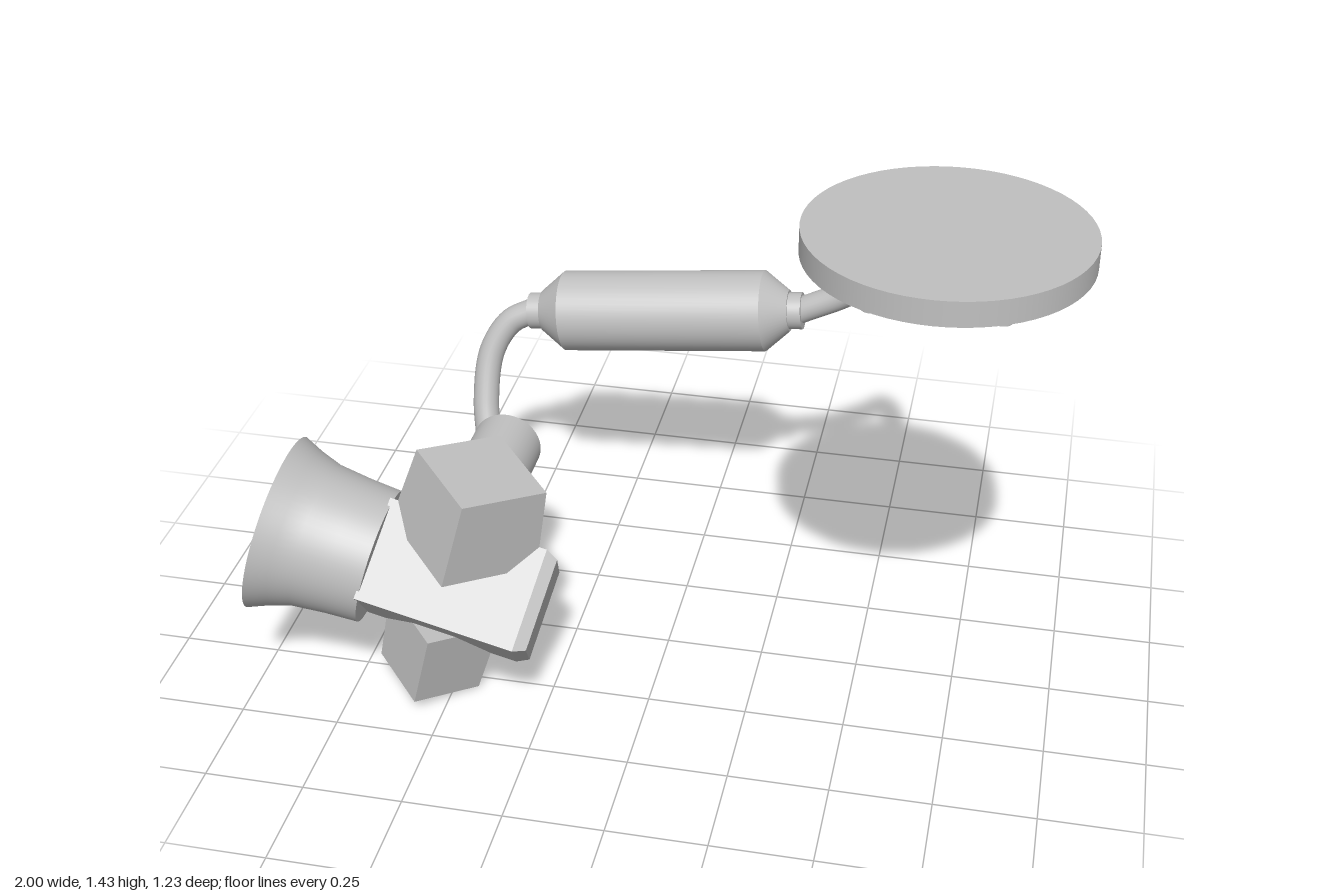
import * as THREE from 'three';

const metal = new THREE.MeshStandardMaterial({ color: 0xc0c0c0 });
metal.name = 'light grey metal';

function add(parent, name, geometry, x = 0, y = 0, z = 0) {
  const mesh = new THREE.Mesh(geometry, metal);
  mesh.name = name;
  mesh.position.set(x, y, z);
  parent.add(mesh);
  return mesh;
}

// Round section running along +x from x0 to x1
function sectionX(x0, r0, x1, r1) {
  return new THREE.CylinderGeometry(r1, r0, x1 - x0, 48).rotateZ(-Math.PI / 2).translate((x0 + x1) / 2, 0, 0);
}

// Square section set corner-on, along y from y0 to y1; sizes are half diagonals
function diamondY(y0, r0, y1, r1) {
  const g = new THREE.CylinderGeometry(r1, r0, y1 - y0, 4).translate(0, (y0 + y1) / 2, 0).toNonIndexed();
  g.computeVertexNormals();
  return g;
}

// Bent pipe with closed ends
function pipe(parent, name, points, radius) {
  const curve = new THREE.CatmullRomCurve3(points.map((p) => new THREE.Vector3(...p)));
  const group = new THREE.Group();
  group.name = name;
  parent.add(group);
  add(group, name + 'Tube', new THREE.TubeGeometry(curve, 64, radius, 24, false));
  for (const t of [0, 1]) {
    const end = curve.getPointAt(t);
    const outward = curve.getTangentAt(t).multiplyScalar(t ? 1 : -1);
    const cap = add(group, name + 'End', new THREE.CircleGeometry(radius, 24), end.x, end.y, end.z);
    cap.quaternion.setFromUnitVectors(new THREE.Vector3(0, 0, 1), outward);
  }
}

export function createModel() {
  const model = new THREE.Group();
  model.name = 'mountedLamp';

  // Mounting plate with a ring of six bolts beneath
  const mount = new THREE.Group();
  mount.name = 'mount';
  mount.position.set(0.675, 0, 0.288);
  model.add(mount);
  add(mount, 'mountingPlate', new THREE.CylinderGeometry(0.322, 0.322, 0.06, 64), 0, 1.4, 0);
  for (let i = 0; i < 6; i++) {
    const a = (i * Math.PI) / 3;
    add(mount, 'bolt', new THREE.CylinderGeometry(0.023, 0.023, 0.03, 20), 0.272 * Math.cos(a), 1.365, 0.272 * Math.sin(a));
  }

  // Pipes either side of the canister
  pipe(model, 'upperPipe', [
    [0.67, 1.35, 0.07], [0.645, 1.285, -0.12], [0.605, 1.19, -0.31], [0.56, 1.08, -0.43],
    [0.495, 0.96, -0.475], [0.39, 0.84, -0.497], [0.25, 0.758, -0.507],
  ], 0.035);
  pipe(model, 'lowerPipe', [
    [-0.48, 0.677, -0.507], [-0.545, 0.64, -0.497], [-0.592, 0.56, -0.468],
    [-0.6, 0.43, -0.415], [-0.578, 0.307, -0.36],
  ], 0.035);

  // Canister with tapered ends and collars
  const canister = new THREE.Group();
  canister.name = 'canister';
  canister.position.set(-0.115, 0.717, -0.507);
  canister.rotation.z = 0.11;
  model.add(canister);
  add(canister, 'canisterBody', sectionX(-0.275, 0.108, 0.275, 0.108));
  add(canister, 'rightTaper', sectionX(-0.34, 0.055, -0.275, 0.108));
  add(canister, 'leftTaper', sectionX(0.275, 0.108, 0.34, 0.055));
  for (const s of [-1, 1]) add(canister, 'collar', sectionX(-0.0175, 0.049, 0.0175, 0.049), s * 0.3575);

  // Tilted head: local x runs from the horn face to the back of the body
  const head = new THREE.Group();
  head.name = 'head';
  head.position.set(-0.945, 0.447, 0.288);
  head.rotation.z = -0.2475;
  model.add(head);

  // Flared horn, closed at the mouth
  const hornProfile = [[0.225, 0], [0.203, 0.052], [0.186, 0.105], [0.177, 0.19], [0.172, 0.275]]
    .map(([r, y]) => new THREE.Vector2(r, y));
  add(head, 'horn', new THREE.LatheGeometry(hornProfile, 64).rotateZ(-Math.PI / 2));
  add(head, 'hornFace', new THREE.CircleGeometry(0.225, 64).rotateY(-Math.PI / 2));
  add(head, 'hornBack', new THREE.CircleGeometry(0.172, 64).rotateY(Math.PI / 2), 0.275);

  // Square body set corner-on, bevelled at its free end
  add(head, 'body', diamondY(0.268, 0.186, 0.675, 0.186).rotateZ(-Math.PI / 2));
  add(head, 'bodyBevel', diamondY(0.675, 0.186, 0.706, 0.166).rotateZ(-Math.PI / 2));

  // Tapered blocks above and below the body
  add(head, 'upperBlock', diamondY(0.125, 0.19, 0.35, 0.166), 0.472);
  add(head, 'lowerBlock', diamondY(-0.305, 0.133, -0.095, 0.147), 0.465);

  // Knob and stub at the back of the upper block
  const turn = Math.PI / 2;
  add(head, 'knob', new THREE.CylinderGeometry(0.088, 0.088, 0.14, 40).rotateX(turn), 0.475, 0.221, -0.253);
  add(head, 'knobStub', new THREE.CylinderGeometry(0.034, 0.034, 0.06, 28).rotateX(turn), 0.475, 0.221, -0.343);

  return model;
}
